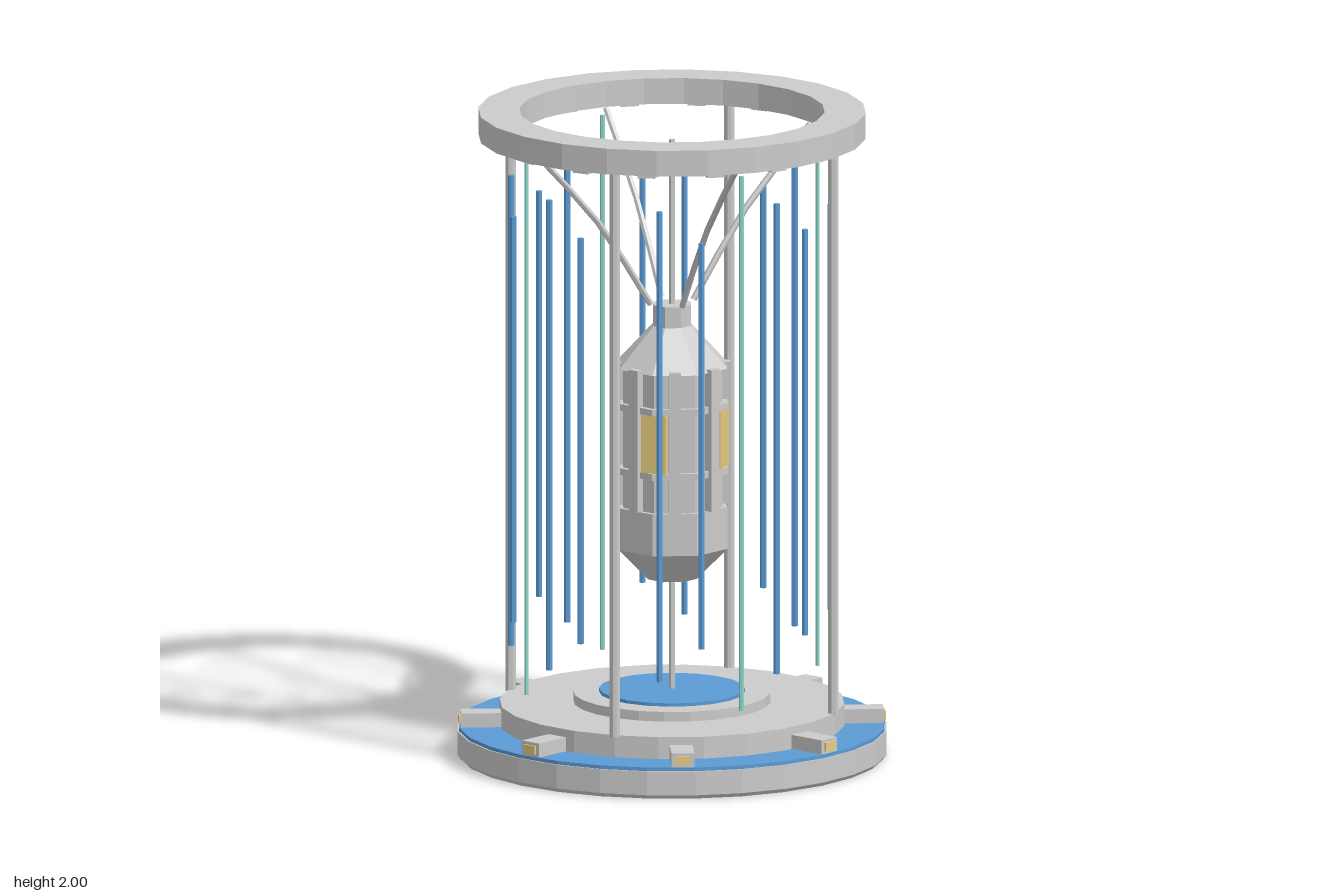
import * as THREE from 'three';

const mat = (color) => new THREE.MeshStandardMaterial({ color, flatShading: true });

export function createModel() {
  const model = new THREE.Group();
  const grey = mat(0xcccccc), blue = mat(0x5b9bd5), teal = mat(0x8fd8cc), amber = mat(0xe6cc80);

  const add = (name, geo, material = grey, parent = model) => {
    const mesh = new THREE.Mesh(geo, material);
    mesh.name = name;
    parent.add(mesh);
    return mesh;
  };
  // Upright cylinder or cone between two heights
  const drum = (name, rTop, rBottom, y0, y1, sides, material, parent) => {
    const m = add(name, new THREE.CylinderGeometry(rTop, rBottom, y1 - y0, sides), material, parent);
    m.position.y = (y0 + y1) / 2;
    return m;
  };
  // Place at an angle around the axis (0 = front, toward +x), facing outward
  const around = (mesh, deg, r, y = mesh.position.y) => {
    const a = THREE.MathUtils.degToRad(deg);
    mesh.position.set(Math.sin(a) * r, y, Math.cos(a) * r);
    mesh.rotation.y = a;
    return mesh;
  };

  // Base and stepped platform
  drum('baseFoot', 0.655, 0.645, 0, 0.012, 28);
  drum('base', 0.655, 0.655, 0.012, 0.086, 28);
  drum('baseGlowRim', 0.65, 0.65, 0.086, 0.097, 28, blue);
  drum('platform', 0.525, 0.525, 0.095, 0.165, 24);
  drum('platformStep', 0.3, 0.3, 0.165, 0.195, 24);
  drum('platformGlowDisc', 0.222, 0.222, 0.195, 0.205, 20, blue);

  // Clamps with amber tips around the base
  for (let i = 0; i < 8; i++) {
    const clamp = new THREE.Group();
    clamp.name = 'clamp';
    add('clampBlock', new THREE.BoxGeometry(0.07, 0.045, 0.14), grey, clamp);
    add('clampLight', new THREE.BoxGeometry(0.046, 0.026, 0.012), amber, clamp).position.z = 0.07;
    model.add(around(clamp, 22.5 + i * 45, 0.573, 0.118));
  }

  // Top ring: rectangular section turned about the axis
  const section = [[0.465, 1.92], [0.59, 1.92], [0.59, 2], [0.465, 2], [0.465, 1.92]];
  add('topRing', new THREE.LatheGeometry(section.map(([x, y]) => new THREE.Vector2(x, y)), 24));
  for (let i = 0; i < 16; i++) {
    around(add('ringLamp', new THREE.BoxGeometry(0.055, 0.018, 0.03)), 11.25 + i * 22.5, 0.53, 1.913);
  }

  // Each quarter: one post, four staggered blue rods, a teal rod and a bent strut
  for (let q = 0; q < 4; q++) {
    const start = q * 90;
    around(drum('post', 0.017, 0.017, 0.16, 1.925, 8), start, 0.52);
    [15, 30, 60, 75].forEach((deg, i) => {
      const trim = i % 2 ? 0.1 : 0;
      around(drum('energyRod', 0.01, 0.01, 0.33 + trim, 1.79 - trim, 6, blue), start + deg, 0.49);
    });
    around(drum('tealRod', 0.007, 0.007, 0.23, 1.89, 6, teal), start + 45, 0.49);

    const path = new THREE.CatmullRomCurve3([[0.072, 1.405], [0.245, 1.67], [0.465, 1.915]]
      .map(([r, y]) => new THREE.Vector3(0, y, r)));
    add('strut', new THREE.TubeGeometry(path, 4, 0.01, 6)).rotation.y = Math.PI / 4 + q * Math.PI / 2;
  }

  // Thin line on the central axis
  drum('centralCable', 0.01, 0.01, 0.2, 1.91, 6);

  // Suspended eight-sided capsule
  const capsule = new THREE.Group();
  capsule.name = 'capsule';
  model.add(capsule);
  drum('capsuleNeck', 0.062, 0.062, 1.335, 1.4, 8, grey, capsule);
  drum('capsuleShoulder', 0.062, 0.178, 1.21, 1.335, 8, grey, capsule);
  drum('capsuleBody', 0.163, 0.163, 0.78, 1.21, 8, grey, capsule);
  drum('capsuleLowerBody', 0.178, 0.178, 0.65, 0.78, 8, grey, capsule);
  drum('capsuleTail', 0.178, 0.08, 0.55, 0.65, 8, grey, capsule);
  for (const y of [0.895, 1.095]) drum('capsuleBand', 0.18, 0.18, y - 0.01, y + 0.01, 8, grey, capsule);

  // Vertical ribs on the flats and amber windows between them
  for (let i = 0; i < 8; i++) {
    const rib = add('capsuleRib', new THREE.BoxGeometry(0.036, 0.44, 0.035), grey, capsule);
    around(rib, 22.5 + i * 45, 0.16, 1.0);
  }
  for (let i = 0; i < 4; i++) {
    const pane = add('capsuleWindow', new THREE.BoxGeometry(0.08, 0.18, 0.02), amber, capsule);
    around(pane, i * 90, 0.16, 0.995);
  }
  return model;
}
